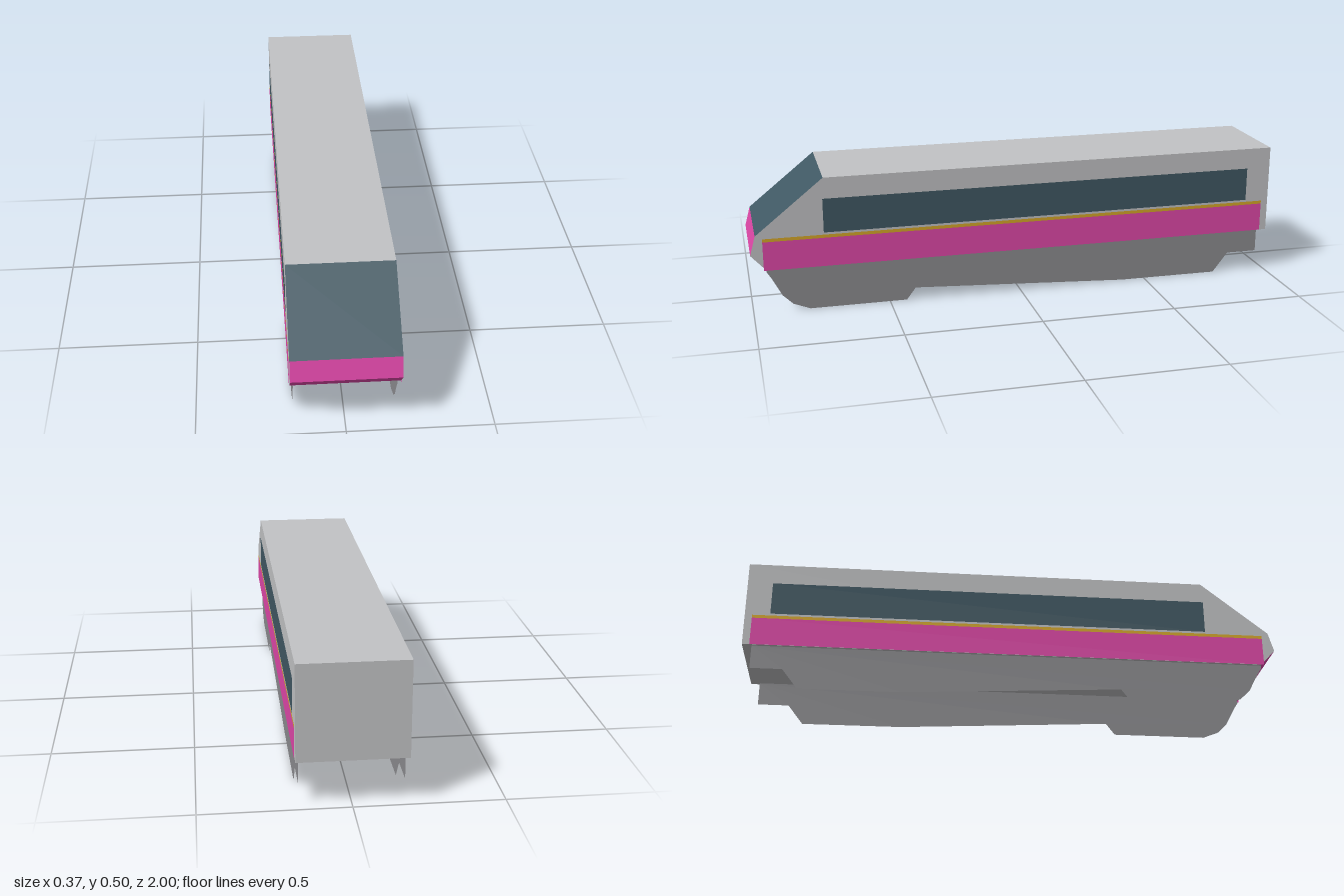
import * as THREE from 'three';

const HALF = 0.184;

function material(name, color, side = THREE.FrontSide) {
  const m = new THREE.MeshStandardMaterial({ color, side });
  m.name = name;
  return m;
}

export function createModel() {
  const group = new THREE.Group();
  const silver = material('silver body', 0xc2c3c5, THREE.DoubleSide);
  const glass = material('dark glass', 0x405863, THREE.DoubleSide);
  const pink = material('pink stripe', 0xe048a9, THREE.DoubleSide);
  const gold = material('gold line', 0xd6a829, THREE.DoubleSide);
  const grey = material('grey skirt', 0x8c8c8f, THREE.DoubleSide);

  const add = (name, geometry, mat) => {
    const mesh = new THREE.Mesh(geometry, mat);
    mesh.name = name;
    group.add(mesh);
    return mesh;
  };

  // Flat side sheets from [z, y] outlines, mirrored on both sides
  const sidePair = (name, points, x, mat) => {
    const shape = new THREE.Shape(points.map(([z, y]) => new THREE.Vector2(z, y)));
    for (const s of [1, -1]) {
      const geo = new THREE.ShapeGeometry(shape);
      geo.rotateY(-Math.PI / 2);
      if (s > 0) { // turn the sheet round so that it faces +x
        const index = Array.from(geo.index.array).reverse();
        geo.setIndex(index);
        geo.computeVertexNormals();
      }
      geo.translate(s * x, 0, 0);
      add((s > 0 ? 'left' : 'right') + name, geo, mat);
    }
  };
  const rect = (z0, z1, y0, y1) => [[z0, y0], [z0, y1], [z1, y1], [z1, y0]];

  // Full-width panel between two profile points
  const panel = (name, [z0, y0], [z1, y1], mat) => {
    const geo = new THREE.BufferGeometry();
    geo.setAttribute('position', new THREE.Float32BufferAttribute([
      HALF, y0, z0, HALF, y1, z1, -HALF, y1, z1, -HALF, y0, z0], 3));
    geo.setIndex([0, 1, 2, 0, 2, 3]);
    geo.computeVertexNormals();
    add(name, geo, mat);
  };

  // Body shell: side profile from the lower nose over the roof to the tail
  const profile = [[0.945, 0.165], [1, 0.225], [0.98, 0.297], [0.73, 0.498], [-1, 0.498], [-1, 0.165]];
  sidePair('BodySide', profile, HALF, silver);
  const panels = [
    ['lowerNose', pink], ['upperNose', pink], ['windscreen', glass],
    ['roof', silver], ['tail', silver], ['floor', silver],
  ];
  panels.forEach(([name, mat], i) => panel(name, profile[i], profile[(i + 1) % profile.length], mat));

  // Painted side details
  sidePair('WindowBand', rect(0.735, -0.907, 0.293, 0.42), HALF + 0.0015, glass);
  sidePair('GoldLine', rect(0.955, -0.973, 0.273, 0.285), HALF + 0.0015, gold);
  sidePair('Stripe', rect(0.955, -0.973, 0.165, 0.273), HALF + 0.0015, pink);

  // Thin skirts under the floor, set in slightly from the sides
  sidePair('Skirt', [
    [0.946, 0.165], [0.946, 0.155], [0.93, 0.13], [0.893, 0.06], [0.856, 0.024], [0.795, 0],
    [0.437, 0], [0.403, 0.045], [-0.41, 0.001], [-0.79, 0], [-0.848, 0.075],
    [-0.966, 0.075], [-0.966, 0.165],
  ], 0.173, grey);

  return group;
}
